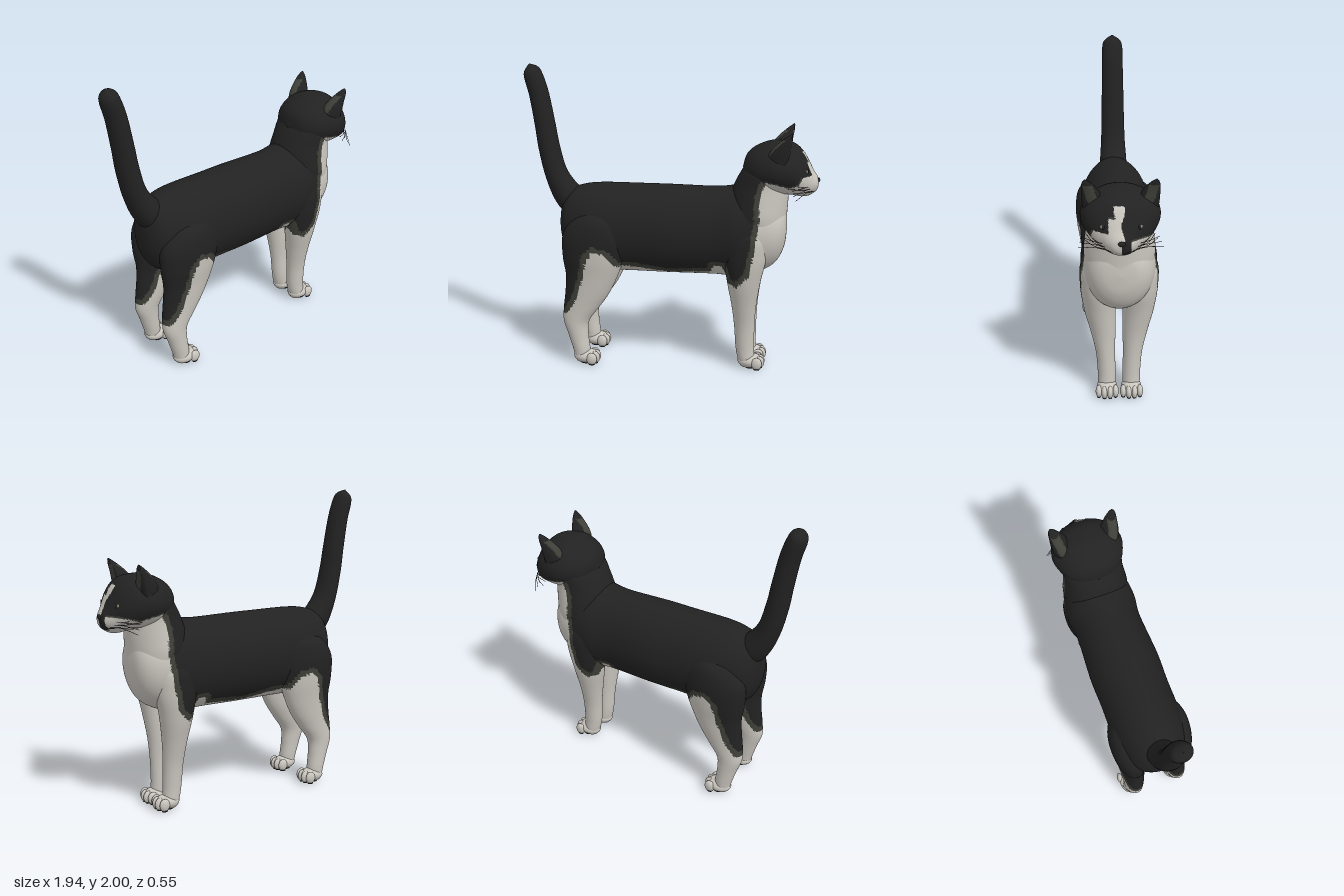
import * as THREE from 'three';

const mat = (name, color) => Object.assign(new THREE.MeshStandardMaterial({ color }), { name });
const black = mat('black fur', 0x222222);
const white = mat('white fur', 0xcac6bf);
const olive = mat('grey fringe', 0x3e4038);
const eyeColor = mat('eye', 0x84866c);
const coat = [black, white, olive];

// Smooth spline through rows of numbers, u from 0 to 1
function sample(rows, u) {
  const n = rows.length - 1, k = Math.min(n - 1, Math.floor(u * n)), t = u * n - k;
  const [a, b, c, d] = [k - 1, k, k + 1, k + 2].map(i => rows[Math.max(0, Math.min(n, i))]);
  return b.map((_, m) => 0.5 * (2 * b[m] + (c[m] - a[m]) * t
    + (2 * a[m] - 5 * b[m] + 4 * c[m] - d[m]) * t * t + (3 * b[m] - a[m] - 3 * c[m] + d[m]) * t * t * t));
}

// Skin over elliptical sections [x, y, z, radius in side plane, radius in z, path angle in degrees].
// paint(x, y, z) picks the coat colour; flat squashes the front half of each section.
function loft(name, rows, paint, nu = 80, nv = 56, flat = 1) {
  const pos = [], faces = [[], [], []];
  for (let i = 0; i <= nu; i++) {
    const [x, y, z, a, b, deg] = sample(rows, i / nu);
    const ang = (deg + 90) * Math.PI / 180;
    for (let j = 0; j < nv; j++) {
      const t = j / nv * Math.PI * 2;
      const r = Math.max(a, 0.001) * Math.cos(t) * (Math.cos(t) < 0 ? flat : 1);
      pos.push(x + r * Math.cos(ang), y + r * Math.sin(ang), z + Math.max(b, 0.001) * Math.sin(t));
    }
  }
  const add = (...v) => {
    const c = [0, 1, 2].map(m => (pos[v[0] * 3 + m] + pos[v[1] * 3 + m] + pos[v[2] * 3 + m]) / 3);
    faces[paint(...c)].push(...v);
  };
  for (let i = 0; i < nu; i++) for (let j = 0; j < nv; j++) {
    const a = i * nv + j, b = i * nv + (j + 1) % nv;
    add(a, b, a + nv);
    add(b, b + nv, a + nv);
  }
  const g = new THREE.BufferGeometry();
  g.setAttribute('position', new THREE.Float32BufferAttribute(pos, 3));
  g.setIndex(faces.flat());
  g.computeVertexNormals();
  let start = 0;
  faces.forEach((f, m) => { g.addGroup(start, f.length, m); start += f.length; });
  const mesh = new THREE.Mesh(g, coat);
  mesh.name = name;
  return mesh;
}

// Signed distance to an outline in the side plane, negative inside
function outlineDistance(poly, x, y) {
  let d = Infinity, inside = false;
  poly.forEach(([ax, ay], i) => {
    const [bx, by] = poly[(i + 1) % poly.length], dx = bx - ax, dy = by - ay;
    const t = Math.max(0, Math.min(1, ((x - ax) * dx + (y - ay) * dy) / (dx * dx + dy * dy)));
    d = Math.min(d, Math.hypot(x - ax - t * dx, y - ay - t * dy));
    if ((ay > y) !== (by > y) && x < ax + (y - ay) / dy * dx) inside = !inside;
  });
  return inside ? -d : d;
}

// White bib, belly and legs
const bib = [[.64, 1.31], [.6, 1.2], [.6, 1.05], [.575, .85], [.54, .68], [.46, .6], [.4, .62], [.36, .73],
  [.31, .73], [.28, .67], [0, .655], [-.2, .69], [-.33, .7], [-.4, .79], [-.47, .81], [-.52, .76],
  [-.55, .62], [-.61, .45], [-.67, .36], [-.8, .34], [-.8, -.1], [1, -.1], [1, 1.28]];
// White muzzle: the left side reaches up the cheek, the right side stays low
const chin = [[.63, 1.3], [.7, 1.29], [.78, 1.265], [.84, 1.28]];
const leftFace = [...chin, [.87, 1.34], [.885, 1.41], [1.1, 1.41], [1.1, 1], [.6, 1]];
const rightFace = [...chin, [.89, 1.29], [1.1, 1.3], [1.1, 1], [.6, 1]];

const banded = (d, w) => d < 0 ? 1 : d < w ? 2 : 0;
const coatPaint = (x, y) => banded(outlineDistance(bib, x, y), 0.035);
const blackPaint = () => 0;
const whitePaint = () => 1;
function headPaint(x, y, z) {
  if (x > .8 && y > 1.3 && y < 1.475 && Math.abs(z - .012) < .022 + .01 * Math.sin(y * 40)) return 1;
  if (z > 0) return z > .075 && y > 1.33 ? 0 : banded(outlineDistance(leftFace, x, y), 0.01);
  if (x > .87 && z > -.055 && y > 1.205) return 0;
  return banded(outlineDistance(rightFace, x, y), 0.01);
}

function ball(name, m, x, y, z, rx, ry, rz) {
  const mesh = new THREE.Mesh(new THREE.SphereGeometry(1, 20, 14), m);
  mesh.position.set(x, y, z);
  mesh.scale.set(rx, ry, rz);
  mesh.name = name;
  return mesh;
}

function strand(name, points, r) {
  const curve = new THREE.CatmullRomCurve3(points.map(p => new THREE.Vector3(...p)));
  const mesh = new THREE.Mesh(new THREE.TubeGeometry(curve, 10, r, 5), black);
  mesh.name = name;
  return mesh;
}

// Rounded foot with four toes and dark pads underneath
function paw(name, x, z) {
  const g = new THREE.Group();
  g.name = name;
  g.add(ball('foot', white, x, .05, z, .085, .048, .066));
  for (let i = 0; i < 4; i++) {
    const k = i - 1.5, tx = x + .068 - Math.abs(k) * .014;
    g.add(ball('toe', white, tx, .045, z + k * .036, .036, .042, .021));
    g.add(ball('toePad', black, tx, .008, z + k * .036, .022, .008, .014));
  }
  g.add(ball('mainPad', black, x, .008, z, .042, .008, .045));
  return g;
}

export function createModel() {
  const cat = new THREE.Group();
  cat.name = 'cat';

  cat.add(loft('body', [
    [-.742, .94, 0, 0, 0, 0], [-.73, .945, 0, .12, .08, 0], [-.68, .945, 0, .22, .16, 0],
    [-.58, .93, 0, .275, .21, 0], [-.45, .925, 0, .295, .235, 0], [-.2, .925, 0, .297, .235, 0],
    [0, .925, 0, .297, .24, 0], [.3, .925, 0, .295, .225, 0], [.45, .93, 0, .305, .24, 0],
    [.6, .95, 0, .285, .22, 0], [.7, .955, 0, .225, .18, 0], [.755, .97, 0, .13, .11, 0],
    [.77, .975, 0, 0, 0, 0]], coatPaint, 150, 96));

  cat.add(loft('neck', [
    [.58, .85, 0, .16, .15, 90], [.57, .95, 0, .195, .2, 90], [.57, 1.05, 0, .197, .22, 90],
    [.58, 1.15, 0, .192, .212, 90], [.597, 1.25, 0, .175, .2, 90], [.62, 1.35, 0, .145, .195, 90],
    [.65, 1.44, 0, .115, .15, 90], [.66, 1.5, 0, 0, 0, 90]], coatPaint, 100, 72));

  cat.add(loft('tail', [
    [-.58, 1.02, 0, .1, .09, 140], [-.69, 1.125, 0, .095, .095, 128], [-.77, 1.27, 0, .075, .085, 110],
    [-.815, 1.45, 0, .07, .08, 100], [-.838, 1.6, 0, .067, .077, 98], [-.873, 1.8, 0, .064, .073, 103],
    [-.908, 1.92, 0, .06, .07, 108], [-.922, 1.965, 0, .045, .052, 110], [-.933, 1.998, 0, 0, 0, 110]], blackPaint));

  cat.add(loft('head', [
    [.475, 1.36, 0, 0, 0, 0], [.5, 1.36, 0, .085, .11, 0], [.56, 1.36, 0, .138, .185, 0],
    [.65, 1.365, 0, .168, .228, 0], [.72, 1.365, 0, .17, .236, 0], [.8, 1.355, 0, .165, .212, 0],
    [.86, 1.325, 0, .145, .165, 0], [.9, 1.295, 0, .11, .115, 0], [.93, 1.275, 0, .073, .082, 0],
    [.955, 1.268, 0, .042, .048, 0], [.965, 1.268, 0, 0, 0, 0]], headPaint, 110, 96));
  cat.add(ball('nose', black, .958, 1.286, 0, .014, .016, .022));

  for (const s of [1, -1]) {
    const side = s > 0 ? 'left' : 'right';

    cat.add(loft(side + 'FrontLeg', [
      [.52, 1.06, .1 * s, 0, 0, -90], [.52, .96, .125 * s, .13, .105, -90], [.51, .8, .135 * s, .14, .11, -90],
      [.503, .62, .123 * s, .11, .1, -90], [.505, .45, .102 * s, .082, .08, -90], [.51, .3, .088 * s, .068, .062, -90],
      [.515, .15, .08 * s, .062, .058, -90], [.525, .06, .08 * s, .055, .055, -90],
      [.53, .012, .08 * s, .04, .04, -90], [.53, .01, .08 * s, 0, 0, -90]], coatPaint));

    cat.add(loft(side + 'HindLeg', [
      [-.47, 1.1, .12 * s, 0, 0, -90], [-.475, 1.02, .14 * s, .14, .1, -90], [-.485, .9, .155 * s, .21, .117, -90],
      [-.495, .75, .155 * s, .205, .11, -90], [-.508, .62, .152 * s, .175, .095, -90], [-.54, .5, .15 * s, .15, .085, -90],
      [-.58, .4, .152 * s, .122, .075, -90], [-.617, .3, .157 * s, .088, .065, -90], [-.605, .2, .16 * s, .068, .06, -90],
      [-.585, .1, .163 * s, .058, .056, -90], [-.575, .02, .165 * s, .045, .045, -90],
      [-.575, .01, .165 * s, 0, 0, -90]], coatPaint));

    cat.add(paw(side + 'FrontPaw', .552, .079 * s), paw(side + 'HindPaw', -.553, .163 * s));

    // Upright ears, squashed in front, with a grey patch down the middle
    const earPaint = (x, y, z) => y < 1.575 && Math.abs(s * z - .165 - .28 * (y - 1.48)) < .03 ? 2 : 0;
    cat.add(loft(side + 'Ear', [
      [.735, 1.41, .155 * s, .1, .066, 90], [.75, 1.48, .166 * s, .1, .061, 90], [.763, 1.53, .178 * s, .078, .049, 90],
      [.78, 1.575, .193 * s, .045, .033, 90], [.79, 1.603, .202 * s, .018, .015, 90],
      [.793, 1.616, .205 * s, 0, 0, 90]], earPaint, 36, 32, .3));

    cat.add(ball(side + 'Eye', eyeColor, .877, 1.36, .098 * s, .02, .018, .026));
    cat.add(ball(side + 'Pupil', black, .893, 1.36, .103 * s, .007, .015, .009));
    cat.add(strand(side + 'Mouth', [[.957, 1.245, 0], [.93, 1.225, .055 * s], [.9, 1.222, .086 * s]], .004));

    // Whiskers sweep outward and back
    for (let i = 0; i < 6; i++) {
      const y = 1.225 + (i % 3) * .016, x = .925 - i * .005, end = .25 - .012 * i;
      cat.add(strand(side + 'Whisker', [[x, y, .06 * s], [x - .035, y + .008, .15 * s],
        [x - .1 - .008 * i, y - .025 + .012 * i, end * s]], .0016));
    }
  }
  return cat;
}
